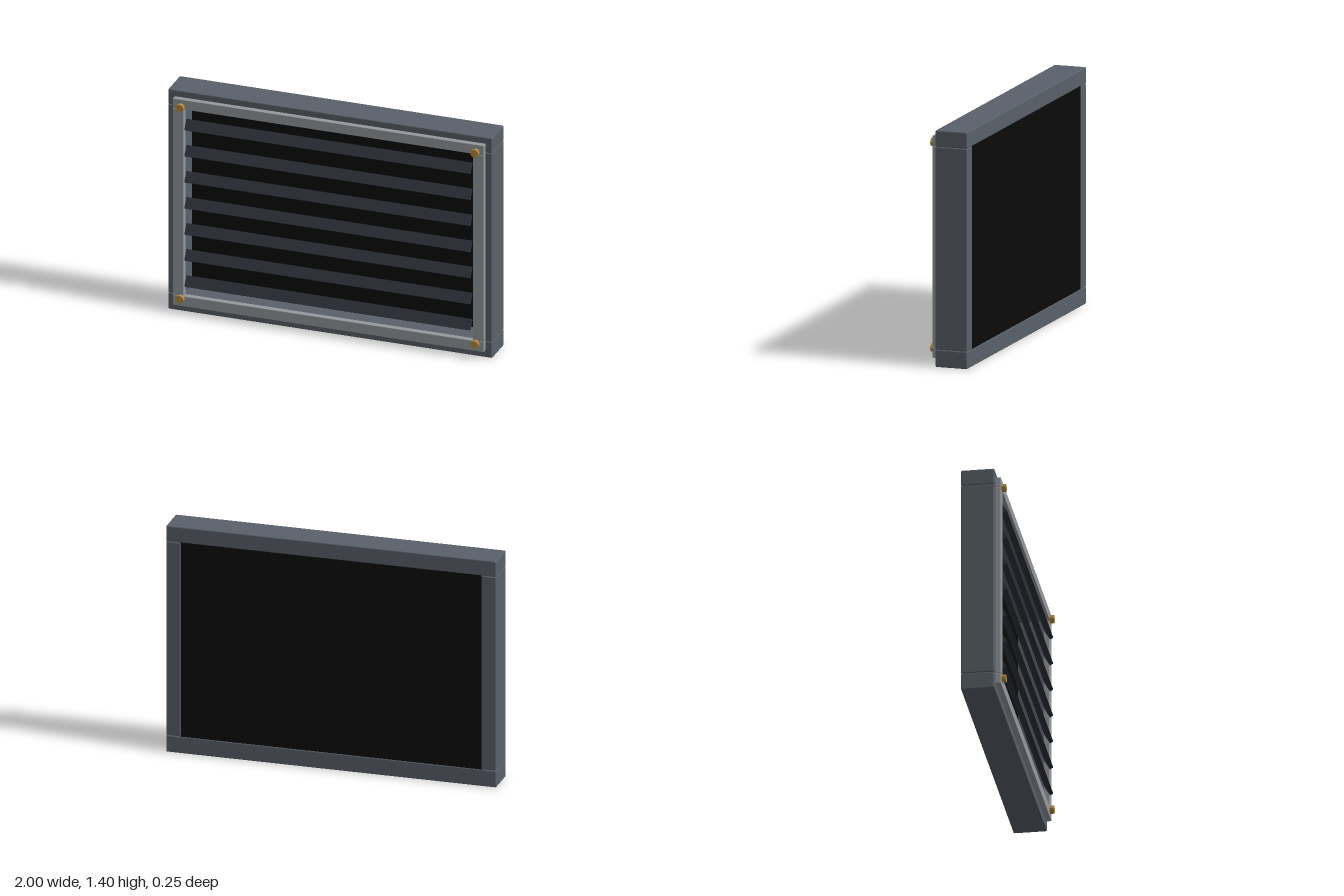
import * as THREE from 'three';
import { RoundedBoxGeometry } from 'three/addons/geometries/RoundedBoxGeometry.js';

const mat = (color) => new THREE.MeshStandardMaterial({ color, flatShading: true });

export function createModel() {
  const group = new THREE.Group();
  const frameMat = mat(0x59616a), trimMat = mat(0x969a9f), slatMat = mat(0x2b3038);
  const panelMat = mat(0x0a0a0a), boltMat = mat(0xb8893a);

  const add = (name, geometry, material, x, y, z) => {
    const mesh = new THREE.Mesh(geometry, material);
    mesh.name = name;
    mesh.position.set(x, y, z);
    group.add(mesh);
    return mesh;
  };
  // Bar with slightly chamfered edges, given by its limits
  const bar = (name, material, x0, x1, y0, y1, z0, z1, bevel) =>
    add(name, new RoundedBoxGeometry(x1 - x0, y1 - y0, z1 - z0, 1, bevel), material,
      (x0 + x1) / 2, (y0 + y1) / 2, (z0 + z1) / 2);

  // Outer frame: full-width rails, side posts between them
  bar('topRail', frameMat, -1, 1, 1.303, 1.4, -0.126, 0.07, 0.006);
  bar('bottomRail', frameMat, -1, 1, 0, 0.103, -0.126, 0.07, 0.006);
  // Raised front trim
  bar('topTrim', trimMat, -0.96, 0.96, 1.298, 1.36, 0.066, 0.102, 0.003);
  bar('bottomTrim', trimMat, -0.96, 0.96, 0.045, 0.11, 0.066, 0.102, 0.003);
  for (const [side, s] of [['left', 1], ['right', -1]]) {
    const mid = s * 0.955, trimX = s * 0.926;
    bar(side + 'Post', frameMat, mid - 0.045, mid + 0.045, 0.103, 1.303, -0.126, 0.07, 0.006);
    bar(side + 'Trim', trimMat, trimX - 0.034, trimX + 0.034, 0.11, 1.298, 0.066, 0.102, 0.003);
  }

  // Dark back panel
  add('backPanel', new THREE.BoxGeometry(1.83, 1.21, 0.035), panelMat, 0, 0.703, -0.105);

  // Louvre slats sloping down and outward
  const slatGeometry = new THREE.BoxGeometry(1.76, 0.022, 0.067);
  for (let i = 0; i < 7; i++) {
    const slat = add('slat' + (i + 1), slatGeometry, slatMat, 0, 0.2075 + i * 0.166, 0.0985);
    slat.rotation.x = Math.PI / 3;
  }

  // Corner bolts
  const boltGeometry = new THREE.CylinderGeometry(0.025, 0.025, 0.03, 8).rotateX(Math.PI / 2);
  for (const x of [-0.91, 0.91])
    for (const y of [0.095, 1.312]) add('cornerBolt', boltGeometry, boltMat, x, y, 0.111);

  return group;
}
